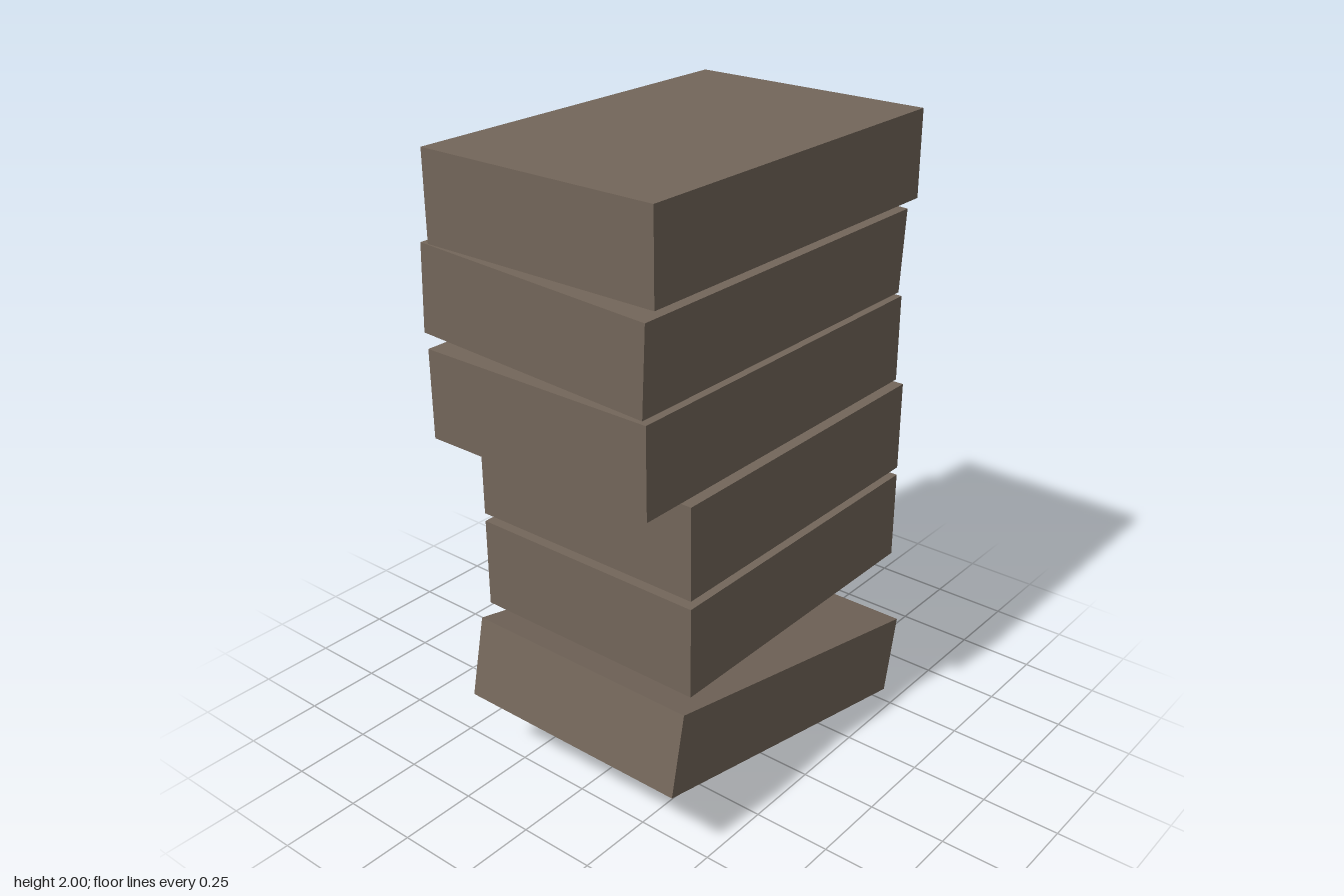
import * as THREE from 'three';

export function createModel() {
  const model = new THREE.Group();
  model.name = 'blockStack';
  const brown = new THREE.MeshStandardMaterial({ color: 0x73665a });
  brown.name = 'dull brown';

  // Blocks from the ground up: size, centre, tilt about x and z
  const blocks = [
    { name: 'tiltedBaseBlock', size: [0.81, 0.263, 1.17], at: [0.035, 0.253, -0.01], tilt: [-0.209, 0] },
    { name: 'lowerShortBlock', size: [0.811, 0.293, 1.065], at: [-0.002, 0.654, -0.072], tilt: [0, 0] },
    { name: 'upperShortBlock', size: [0.811, 0.295, 1.065], at: [-0.002, 0.975, -0.072], tilt: [0, 0] },
    { name: 'lowerLongBlock', size: [0.811, 0.281, 1.217], at: [-0.029, 1.271, 0.003], tilt: [0, 0] },
    { name: 'leaningBlock', size: [0.811, 0.27, 1.217], at: [-0.034, 1.575, 0.003], tilt: [0, -0.047] },
    { name: 'topBlock', size: [0.811, 0.27, 1.217], at: [0.003, 1.865, 0.003], tilt: [0, 0] },
  ];

  for (const { name, size, at, tilt } of blocks) {
    const block = new THREE.Mesh(new THREE.BoxGeometry(...size), brown);
    block.name = name;
    block.position.set(...at);
    block.rotation.set(tilt[0], 0, tilt[1]);
    model.add(block);
  }
  return model;
}
